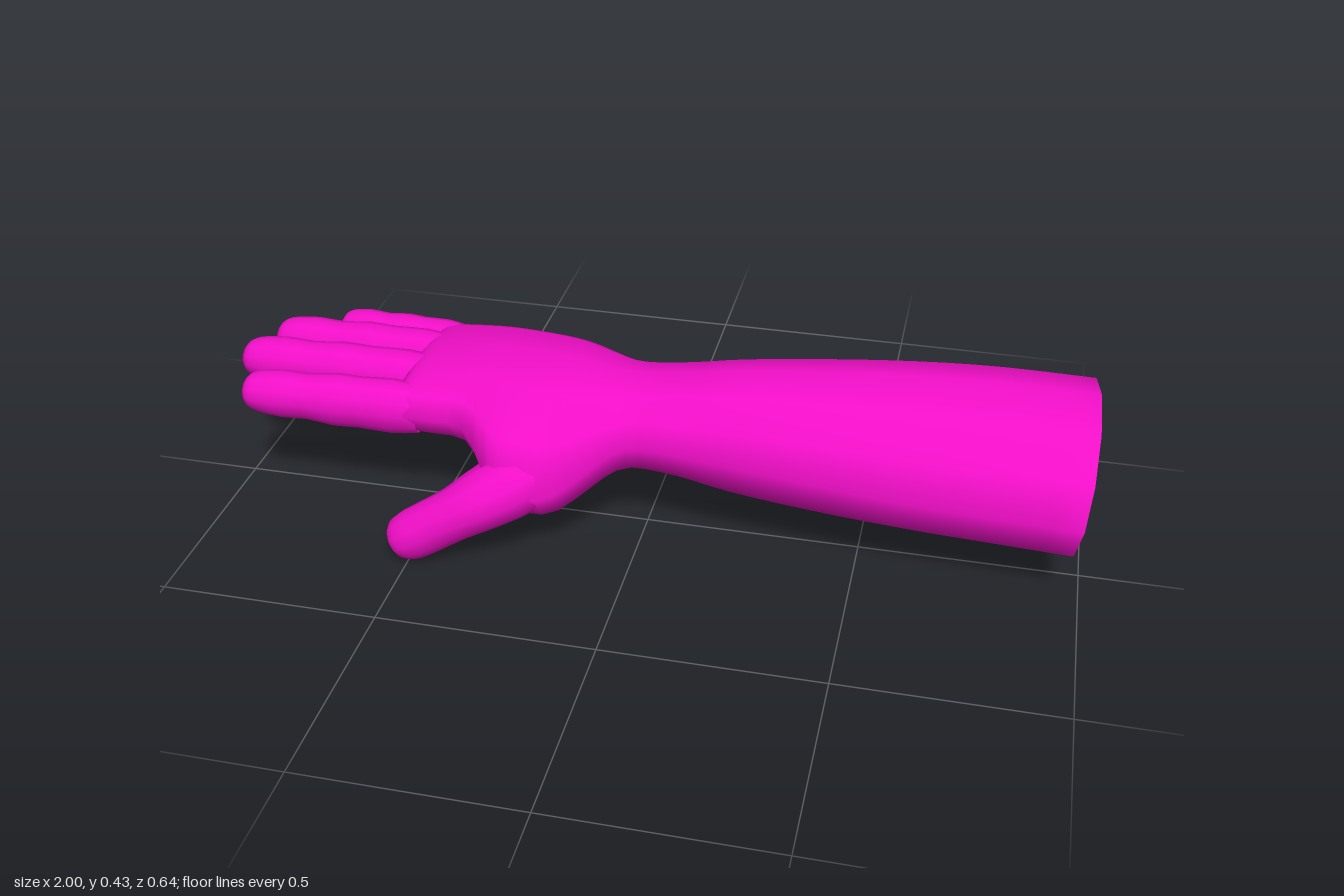
import * as THREE from 'three';

const SIDES = 12;
const skin = new THREE.MeshStandardMaterial({ color: 0xf20fc8, side: THREE.DoubleSide });
const { smoothstep, lerp, clamp } = THREE.MathUtils;

// Lofts a smooth tube through rings [x, y, z, halfWidth, halfHeight, power].
// steps: rings per span; power: below 1 gives a boxier section;
// straight: keep every ring in the plane across x; bend: reshapes each point.
function loft(name, rings, { steps = 3, straight = false, bend } = {}) {
  const spline = points => new THREE.CatmullRomCurve3(points, false, 'catmullrom');
  const centres = spline(rings.map(([x, y, z]) => new THREE.Vector3(x, y, z)));
  const sizes = spline(rings.map(([, , , w, h, power = 1]) => new THREE.Vector3(w, h, power)));
  const pos = [], index = [], up = new THREE.Vector3(0, 1, 0);
  const n = (rings.length - 1) * steps;
  const soft = (v, power) => Math.sign(v) * Math.abs(v) ** power;
  for (let i = 0; i <= n; i++) {
    const c = centres.getPoint(i / n), s = sizes.getPoint(i / n);
    const t = straight ? new THREE.Vector3(-1, 0, 0) : centres.getTangent(i / n);
    const side = t.clone().cross(up).normalize();
    const lift = side.clone().cross(t);
    for (let j = 0; j < SIDES; j++) {
      const a = (j / SIDES) * Math.PI * 2;
      const p = c.clone()
        .addScaledVector(side, soft(Math.cos(a), s.z) * s.x)
        .addScaledVector(lift, soft(Math.sin(a), s.z) * s.y);
      if (bend) bend(p);
      pos.push(p.x, p.y, p.z);
      if (i < n) {
        const k = i * SIDES, j2 = (j + 1) % SIDES;
        index.push(k + j, k + SIDES + j, k + j2, k + j2, k + SIDES + j, k + SIDES + j2);
      }
    }
  }
  // Closed tip
  const end = centres.getPoint(1), tip = pos.length / 3;
  pos.push(end.x, end.y, end.z);
  for (let j = 0; j < SIDES; j++) index.push(n * SIDES + j, tip, n * SIDES + ((j + 1) % SIDES));

  const geo = new THREE.BufferGeometry();
  geo.setAttribute('position', new THREE.Float32BufferAttribute(pos, 3));
  geo.setIndex(index);
  geo.computeVertexNormals();
  const mesh = new THREE.Mesh(geo, skin);
  mesh.name = name;
  return mesh;
}

// Finger from knuckle to tip: slight swelling at the joints, blunt end
function finger(name, tipX, baseZ, tipZ, baseY, tipY, r) {
  const profile = [
    [0, 0.92, 1.1], [0.15, 1.03, 1.25], [0.34, 1.0, 1.17], [0.48, 1.04, 1.2],
    [0.64, 0.95, 1.04], [0.78, 0.98, 1.08], [0.91, 0.93, 0.94], [0.97, 0.8, 0.76], [1, 0.5, 0.46],
  ];
  return loft(name, profile.map(([f, w, h]) => [
    lerp(-0.52, tipX, f), lerp(baseY, tipY, f), lerp(baseZ, tipZ, f), r * w, r * h,
  ]), { steps: 2 });
}

// Slants the elbow cut, skews the forearm section, lowers the little-finger
// edge and swells the thumb side of the palm outward and down
function shapeArm(p) {
  const cut = smoothstep(p.x, 0.7, 0.97), arm = smoothstep(p.x, 0, 0.8);
  p.x += cut * ((p.y - 0.25) * 0.12 + (p.z + 0.047) * 0.07);
  const across = (p.z + 0.047) / 0.21;
  p.z -= arm * 0.03 * (1 - across * across);
  p.y -= arm * 0.02 * across;
  p.y -= smoothstep(-p.x, 0.05, 0.35) * Math.max(0, -0.12 - p.z) * 0.13;

  const ball = smoothstep(-p.x, 0, 0.2) * (1 - smoothstep(-p.x, 0.28, 0.42));
  const u = clamp((p.z + 0.05) / 0.21, 0, 1) ** 2 * ball;
  const below = clamp((0.284 - p.y) / 0.1, -1, 1);
  p.z += u * 0.095;
  p.y -= u * (0.1 + 0.085 * below);
}

export function createModel() {
  const group = new THREE.Group();
  group.name = 'handAndForearm';

  // Forearm, wrist and palm, open at the elbow end
  group.add(loft('forearmAndPalm', [
    [0.972, 0.25, -0.047, 0.212, 0.182],
    [0.78, 0.254, -0.048, 0.209, 0.18],
    [0.58, 0.254, -0.048, 0.201, 0.176],
    [0.38, 0.258, -0.046, 0.188, 0.163],
    [0.2, 0.262, -0.045, 0.172, 0.145],
    [0.08, 0.266, -0.043, 0.16, 0.123],
    [-0.03, 0.266, -0.042, 0.153, 0.112],
    [-0.1, 0.27, -0.045, 0.177, 0.11, 0.97],
    [-0.2, 0.284, -0.055, 0.212, 0.106, 0.93],
    [-0.3, 0.292, -0.068, 0.228, 0.099, 0.9],
    [-0.4, 0.297, -0.08, 0.226, 0.089, 0.86],
    [-0.5, 0.294, -0.083, 0.223, 0.079, 0.78],
    [-0.55, 0.293, -0.083, 0.216, 0.068, 0.72],
    [-0.572, 0.293, -0.083, 0.195, 0.045, 0.72],
  ], { straight: true, bend: shapeArm }));

  // Fingers
  group.add(
    finger('indexFinger', -0.94, 0.082, 0.104, 0.287, 0.298, 0.053),
    finger('middleFinger', -1.0, -0.036, -0.04, 0.295, 0.302, 0.055),
    finger('ringFinger', -0.965, -0.15, -0.163, 0.293, 0.298, 0.053),
    finger('littleFinger', -0.845, -0.252, -0.28, 0.276, 0.28, 0.046),
  );

  // Thumb, growing out of the ball of the palm
  group.add(loft('thumb', [
    [-0.19, 0.225, 0.14, 0.055, 0.05],
    [-0.255, 0.196, 0.184, 0.08, 0.076],
    [-0.33, 0.16, 0.226, 0.076, 0.07],
    [-0.39, 0.126, 0.248, 0.062, 0.062],
    [-0.45, 0.088, 0.256, 0.058, 0.061],
    [-0.495, 0.06, 0.26, 0.056, 0.059],
    [-0.523, 0.042, 0.261, 0.047, 0.048],
    [-0.534, 0.035, 0.261, 0.028, 0.028],
  ]));

  return group;
}
